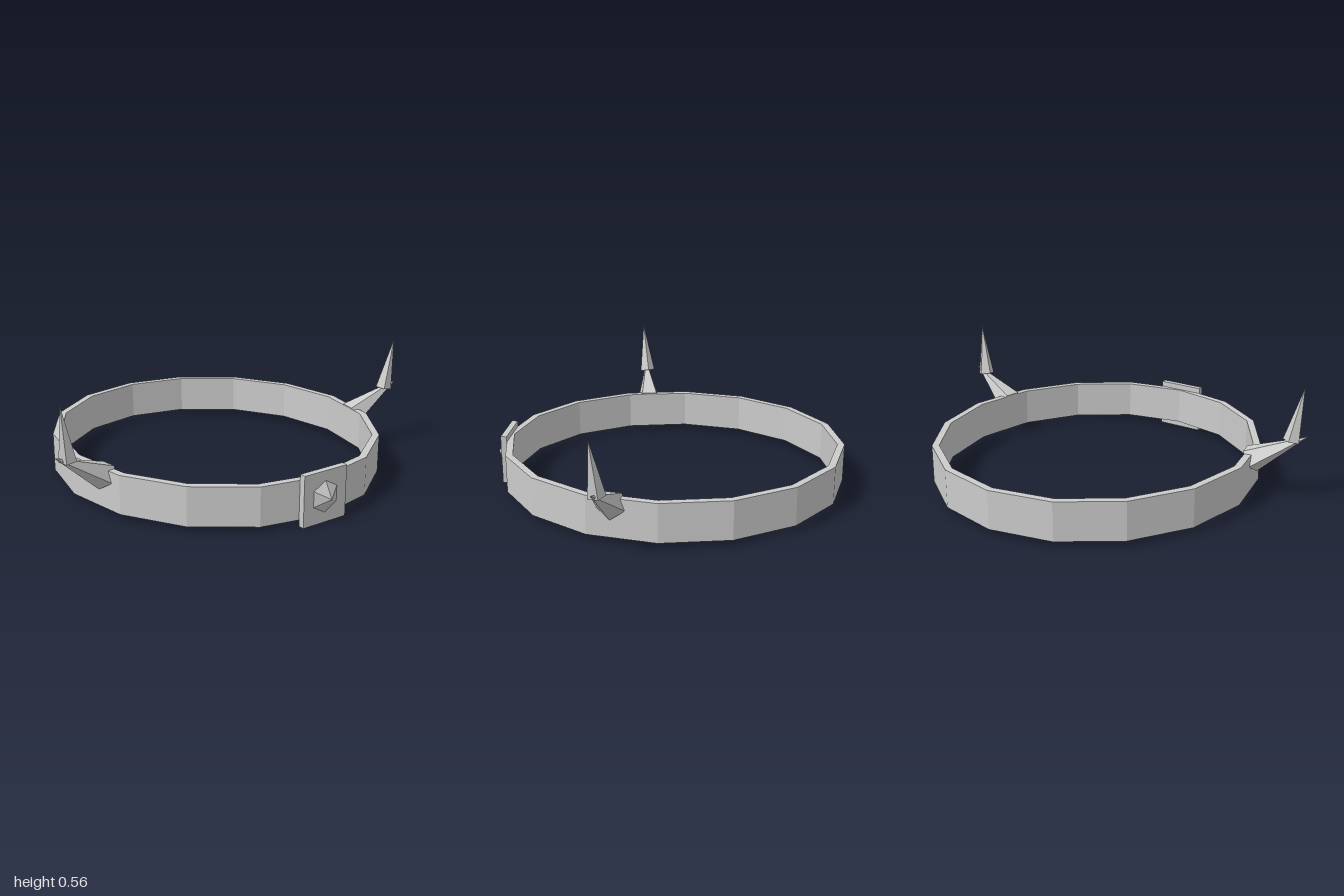
import * as THREE from 'three';

const material = new THREE.MeshStandardMaterial({ color: 0xcccccc, flatShading: true });

function addMesh(parent, name, geometry) {
  const mesh = new THREE.Mesh(geometry, material);
  mesh.name = name;
  parent.add(mesh);
  return mesh;
}

// Points of a 16-sided ellipse
function ellipse(rx, rz) {
  return Array.from({ length: 16 }, (_, i) => {
    const a = (i / 16) * Math.PI * 2;
    return new THREE.Vector2(rx * Math.cos(a), rz * Math.sin(a));
  });
}

// Five-sided spike from base to tip, with one corner turned towards hint
function spike(base, tip, radius, hint) {
  const axis = tip.clone().sub(base);
  const length = axis.length();
  axis.normalize();
  const side = hint.clone().projectOnPlane(axis).normalize();
  const across = new THREE.Vector3().crossVectors(axis, side);
  const matrix = new THREE.Matrix4().makeBasis(across, axis, side).setPosition(base);
  return new THREE.ConeGeometry(radius, length, 5)
    .translate(0, length / 2, 0)
    .applyMatrix4(matrix);
}

export function createModel() {
  const model = new THREE.Group();
  model.name = 'hornedCirclet';

  // Faceted band, slightly longer than wide
  const outline = new THREE.Shape(ellipse(0.79, 0.843));
  outline.holes.push(new THREE.Path(ellipse(0.755, 0.808).reverse()));
  const band = new THREE.ExtrudeGeometry(outline, { depth: 0.187, bevelEnabled: false });
  band.rotateX(-Math.PI / 2).translate(0, 0.03, -0.025);
  addMesh(model, 'band', band);

  // Front plate with a six-sided gem
  addMesh(model, 'frontPlate', new THREE.BoxGeometry(0.24, 0.245, 0.03))
    .position.set(0, 0.1225, 0.808);
  const gem = new THREE.ConeGeometry(0.077, 0.045, 6).rotateX(Math.PI / 2);
  addMesh(model, 'gem', gem).position.set(0, 0.123, 0.8445);

  // Bent horns: an outward spike and an upright one near its end
  const down = new THREE.Vector3(0, -1, 0);
  const back = new THREE.Vector3(0, 0, -1);
  for (const s of [1, -1]) {
    const horn = new THREE.Group();
    horn.name = s > 0 ? 'leftHorn' : 'rightHorn';
    addMesh(horn, 'hornBase', spike(
      new THREE.Vector3(s * 0.737, 0.18, 0.18),
      new THREE.Vector3(s * 0.998, 0.333, 0.225), 0.068, down));
    addMesh(horn, 'hornTip', spike(
      new THREE.Vector3(s * 0.926, 0.303, 0.212),
      new THREE.Vector3(s * 0.963, 0.563, 0.235), 0.042, back));
    model.add(horn);
  }
  return model;
}
